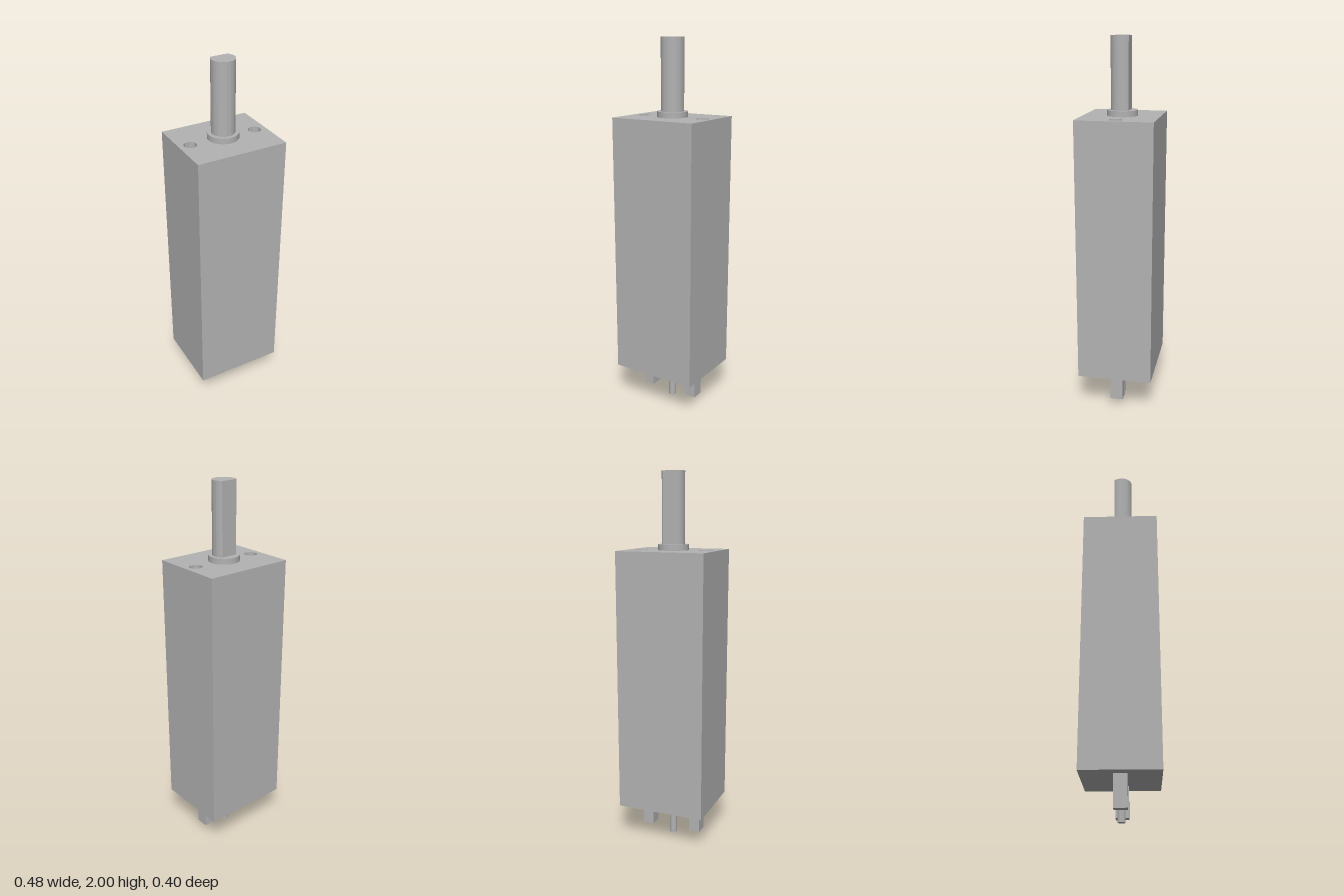
import * as THREE from 'three';
import { toCreasedNormals } from 'three/addons/utils/BufferGeometryUtils.js';

const W = 0.48, D = 0.4, BASE = 0.2, TOP = 1.6;
const HOLE_X = 0.18, HOLE_R = 0.033, HOLE_DEPTH = 0.1;

export function createModel() {
  const group = new THREE.Group();
  const grey = new THREE.MeshStandardMaterial({ color: 0xb2b2b2 });
  grey.name = 'plain grey';

  const add = (name, geometry, x = 0, y = 0, z = 0) => {
    const mesh = new THREE.Mesh(geometry, grey);
    mesh.name = name;
    mesh.position.set(x, y, z);
    group.add(mesh);
  };

  // Body: a box without its top face
  const box = new THREE.BoxGeometry(W, TOP - BASE, D);
  const index = Array.from(box.index.array);
  index.splice(12, 6);
  box.setIndex(index);
  box.clearGroups();
  add('body', box, 0, (TOP + BASE) / 2);

  // Top plate with two screw holes
  const plate = new THREE.Shape([
    new THREE.Vector2(-W / 2, -D / 2), new THREE.Vector2(W / 2, -D / 2),
    new THREE.Vector2(W / 2, D / 2), new THREE.Vector2(-W / 2, D / 2),
  ]);
  for (const s of [-1, 1]) {
    plate.holes.push(new THREE.Path().absarc(s * HOLE_X, 0, HOLE_R, 0, Math.PI * 2, true));
  }
  add('bodyTop', new THREE.ShapeGeometry(plate, 24).rotateX(-Math.PI / 2), 0, TOP);

  // Blind holes: inward-facing wall, then floor
  const holeProfile = [[HOLE_R, 0], [HOLE_R, -HOLE_DEPTH], [0, -HOLE_DEPTH]]
    .map(([x, y]) => new THREE.Vector2(x, y));
  const hole = toCreasedNormals(new THREE.LatheGeometry(holeProfile, 48), 0.6);

  // Holes and rectangular bottom lugs on both sides
  for (const [s, side] of [[1, 'left'], [-1, 'right']]) {
    add(side + 'ScrewHole', hole, s * HOLE_X, TOP);
    add(side + 'Lug', new THREE.BoxGeometry(0.06, 0.16, 0.068), s * 0.14, 0.12);
  }

  // Round centre pin underneath
  add('centrePin', new THREE.CylinderGeometry(0.02, 0.02, 0.2, 32), 0, 0.1);

  // Collar around the shaft
  add('collar', new THREE.CylinderGeometry(0.08, 0.08, 0.03, 64), 0, TOP + 0.015);

  // D-shaped shaft with its flat at the back
  const a = Math.asin(0.04 / 0.06);
  const section = new THREE.Shape();
  section.absarc(0, 0, 0.06, Math.PI - a, Math.PI * 2 + a, false);
  section.closePath();
  const shaft = new THREE.ExtrudeGeometry(section, { depth: 0.4, bevelEnabled: false, curveSegments: 48 });
  shaft.rotateX(-Math.PI / 2);
  shaft.clearGroups();
  add('shaft', toCreasedNormals(shaft, 0.5), 0, TOP);

  return group;
}
